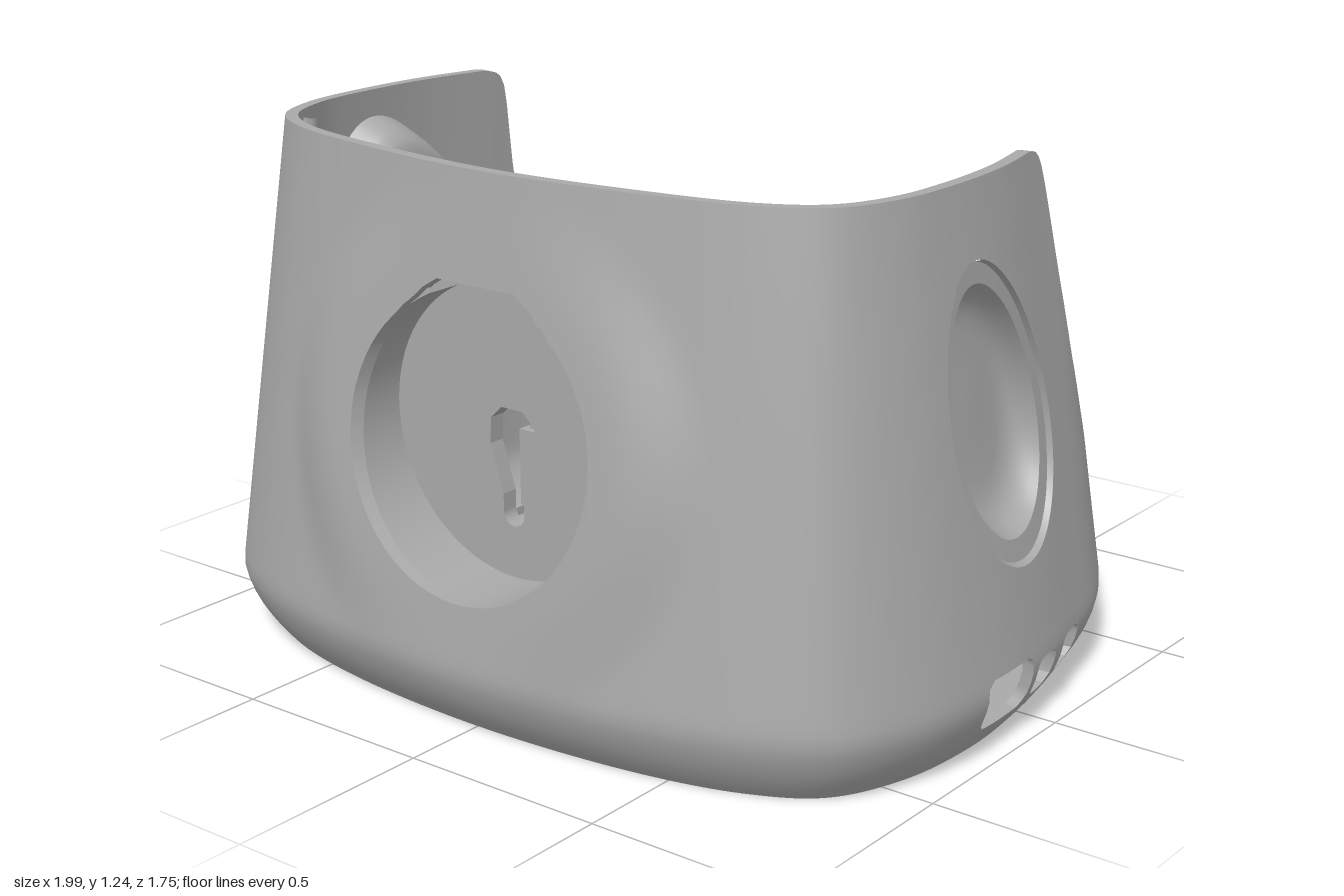
import * as THREE from 'three';
import { toCreasedNormals } from 'three/addons/utils/BufferGeometryUtils.js';

const { smoothstep, clamp } = THREE.MathUtils;
const grey = new THREE.MeshStandardMaterial({ color: 0xa9a9a9 });
grey.name = 'plain grey';

// Plan outlines (x, z) of half the shell, front centre to back centre
const lowerPlan = [[0, .88], [.45, .84], [.73, .76], [.88, .662], [.968, .48], [1, .25], [.99, .05],
  [.95, -.16], [.89, -.37], [.765, -.585], [.57, -.765], [.3, -.86], [0, -.882]];
const upperPlan = [[0, .74], [.4, .7], [.655, .638], [.775, .557], [.835, .42], [.85, .25], [.84, .05],
  [.8, -.15], [.76, -.3], [.64, -.46], [.46, -.57], [.23, -.625], [0, -.64]];
// Height of the rim (z, y), sweeping down to the back
const rim = [[-.9, .125], [-.86, .14], [-.71, .23], [-.58, .345], [-.47, .46], [-.38, .59], [-.31, .75],
  [-.25, .96], [-.205, 1.17], [-.19, 1.215], [-.165, 1.235], [-.13, 1.242], [1, 1.242]];

function closedPlan(half) {
  const mirrored = half.slice(1, -1).reverse().map(([x, z]) => [-x, z]);
  return new THREE.CatmullRomCurve3([...half, ...mirrored].map(([x, z]) => new THREE.Vector3(x, 0, z)), true);
}
const lower = closedPlan(lowerPlan), upper = closedPlan(upperPlan);

function rimHeight(z) {
  let i = 0;
  while (i < rim.length - 2 && z > rim[i + 1][0]) i++;
  const [z0, y0] = rim[i], [z1, y1] = rim[i + 1];
  return y0 + (y1 - y0) * clamp((z - z0) / (z1 - z0), 0, 1);
}

// Point on the shell wall at plan position u, height y, a given depth inside the surface
function wallPoint(u, y, depth = 0) {
  const t = ((u % 1) + 1) % 1;
  const p = lower.getPoint(t).lerp(upper.getPoint(t), Math.max(0, (y - .15) / 1.09));
  const k = clamp((.18 - y) / .18, 0, 1);
  // The inside is filleted into the floor at the front and back
  const fillet = depth ? .15 * (1 - smoothstep(y, .01, .18)) * smoothstep(Math.abs(p.z), .36, .6) : 0;
  p.multiplyScalar(1 - (.085 * k * k + depth + fillet) / p.length());
  if (p.z > 0) p.z += .2 * p.x * p.x * (1 - smoothstep(Math.hypot(p.x, y - .65), .38, .6));
  p.y = y;
  return p;
}

// Finds where a decreasing measure along the wall reaches zero
function findWall(y, from, to, measure) {
  for (let i = 0; i < 25; i++) {
    const m = (from + to) / 2;
    if (measure(wallPoint(m, y)) > 0) from = m; else to = m;
  }
  return wallPoint(from, y);
}
const frontZ = (x, y) => findWall(y, 0, .19, p => Math.abs(x) - p.x).z;
const sideX = (z, y) => findWall(y, .1, .42, p => p.z - z).x;

// Egg outline on the side wall: 1 on its edge, 0 at its centre
function eggLevel(z, y) {
  const dz = z - .12, dy = y - .735;
  const a = dz * .27 + dy * .96, b = dz * .96 - dy * .27;
  return Math.hypot(a / .35, b / (.21 * Math.max(.2, 1 - .5 * a)));
}

// Egg-shaped surface from rings of [egg level, depth below the wall]
function eggGeometry(rings, side, faceOut) {
  const n = 72, pos = [], index = [];
  rings.forEach(([e, sink], r) => {
    for (let i = 0; i < n; i++) {
      const t = i / n * Math.PI * 2, a = .35 * e * Math.sin(t), b = .21 * (1 - .5 * a) * e * Math.cos(t);
      const z = .12 + .27 * a + .96 * b, y = .735 + .96 * a - .27 * b;
      pos.push(side * (sideX(z, y) - sink), y, z);
      if (r === rings.length - 1) continue;
      const p = r * n + i, q = r * n + (i + 1) % n;
      if ((side > 0) === faceOut) index.push(p, p + n, q, q, p + n, q + n);
      else index.push(p, q, p + n, q, q + n, p + n);
    }
  });
  const g = new THREE.BufferGeometry();
  g.setAttribute('position', new THREE.Float32BufferAttribute(pos, 3));
  g.setIndex(index);
  return toCreasedNormals(g, .8);
}

function roundedBox(a, b, a0, a1, b0, b1, r) {
  const qa = Math.abs(a - (a0 + a1) / 2) - (a1 - a0) / 2 + r;
  const qb = Math.abs(b - (b0 + b1) / 2) - (b1 - b0) / 2 + r;
  return Math.hypot(Math.max(qa, 0), Math.max(qb, 0)) + Math.min(Math.max(qa, qb), 0) - r;
}

// Positive where the wall is cut away
function cut(p) {
  const notch = p.z < -.7 && p.x > -.2 && p.x < -.08 ? .03 : 0;
  let f = p.y - rimHeight(p.z) + notch;
  if (p.z > .4 && Math.abs(p.x) < .6) {
    f = Math.max(f, .34 - Math.hypot(p.x, p.y - .65));
    f = Math.max(f, Math.min(1 - p.y, p.y - .9, .12 + (1 - p.y) * 1.1 - Math.abs(p.x)));
  }
  if (Math.abs(p.x) > .7) {
    const slots = p.x > 0 ? [[.09, .28, .07, .19], [-.04, .065, .075, .165], [-.195, -.085, .075, .165]]
      : [[-.04, .28, .07, .19], [-.195, -.085, .075, .165]];
    for (const s of slots) f = Math.max(f, -roundedBox(p.z, p.y, ...s, .025));
    f = Math.max(f, .3 * (1 - eggLevel(p.z, p.y)));
  }
  return f;
}

// Thick shell: a grid trimmed by cut(), with walls along every trimmed edge
function shellGeometry() {
  const cols = 280, thick = .03, pos = [];
  const rows = [0, .015, .03, .05, .07];
  while (rows.at(-1) < 1.26) rows.push(rows.at(-1) + .026);
  const vertex = (u, y) => {
    const o = wallPoint(u, y);
    return { o, i: wallPoint(u, y, thick), f: cut(o) };
  };
  const between = (a, b) => {
    const t = a.f / (a.f - b.f);
    return { o: a.o.clone().lerp(b.o, t), i: a.i.clone().lerp(b.i, t) };
  };
  const face = (...pts) => pts.forEach(p => pos.push(p.x, p.y, p.z));
  const grid = rows.map(y => Array.from({ length: cols + 1 }, (_, c) => vertex(c / cols, y)));
  const triangle = (...tri) => {
    const poly = [];
    let leave, enter;
    tri.forEach((a, k) => {
      const b = tri[(k + 1) % 3];
      if (a.f <= 0) poly.push(a);
      if (a.f <= 0 && b.f > 0) poly.push(leave = between(a, b));
      if (a.f > 0 && b.f <= 0) poly.push(enter = between(a, b));
    });
    for (let k = 1; k < poly.length - 1; k++) {
      face(poly[0].o, poly[k].o, poly[k + 1].o);
      face(poly[0].i, poly[k + 1].i, poly[k].i);
    }
    if (leave) {
      face(enter.o, leave.o, leave.i);
      face(enter.o, leave.i, enter.i);
    }
  };
  for (let r = 0; r < rows.length - 1; r++) for (let c = 0; c < cols; c++) {
    const a = grid[r][c], b = grid[r][c + 1], d = grid[r + 1][c], e = grid[r + 1][c + 1];
    triangle(a, b, e);
    triangle(a, e, d);
  }
  const g = new THREE.BufferGeometry();
  g.setAttribute('position', new THREE.Float32BufferAttribute(pos, 3));
  return toCreasedNormals(g, .7);
}

const polygon = pts => new THREE.Shape(pts.map(([x, y]) => new THREE.Vector2(x, y)));
const extrude = (shape, depth) =>
  new THREE.ExtrudeGeometry(shape, { depth, bevelEnabled: false, curveSegments: 32 });

export function createModel() {
  const model = new THREE.Group();
  const add = (name, geometry, x = 0, y = 0, z = 0) => {
    const mesh = new THREE.Mesh(geometry, grey);
    mesh.name = name;
    mesh.position.set(x, y, z);
    model.add(mesh);
  };
  const box = (name, x0, x1, y0, y1, z0, z1) => add(name,
    new THREE.BoxGeometry(x1 - x0, y1 - y0, z1 - z0), (x0 + x1) / 2, (y0 + y1) / 2, (z0 + z1) / 2);

  add('shell', shellGeometry());

  // Floor with the large opening and the rear slot
  const floor = polygon(Array.from({ length: 140 }, (_, i) => {
    const p = wallPoint(i / 140, 0);
    return [p.x, -p.z];
  }));
  const opening = polygon([[-.65, -.54], [.65, -.54], [.69, -.3], [.69, .24], [.66, .28], [.55, .305],
    [-.55, .305], [-.66, .28], [-.69, .24], [-.69, -.3]]);
  const slot = new THREE.Path().moveTo(-.26, .44).quadraticCurveTo(0, .475, .26, .44)
    .lineTo(.26, .59).quadraticCurveTo(0, .65, -.26, .59).closePath();
  floor.holes.push(opening, slot);
  add('floor', extrude(floor, .045).rotateX(-Math.PI / 2));

  // Round recess in the front: open-topped cup and a disc with a keyhole
  const start = Math.PI * .64, end = Math.PI * 2.36;
  const ring = new THREE.Shape().absarc(0, .65, .37, start, end, false).absarc(0, .65, .34, end, start, true);
  const cup = extrude(ring, 1), cp = cup.attributes.position;
  for (let i = 0; i < cp.count; i++)
    cp.setZ(i, cp.getZ(i) > .5 ? frontZ(cp.getX(i), cp.getY(i)) - .02 : .62);
  add('recessCup', toCreasedNormals(cup, .6));
  const disc = new THREE.Shape().absarc(0, .65, .342, 0, Math.PI * 2);
  disc.holes.push(new THREE.Path().moveTo(.03, .5).lineTo(.065, .61).lineTo(.062, .67).lineTo(.03, .7)
    .lineTo(-.03, .7).lineTo(-.062, .67).lineTo(-.065, .61).lineTo(-.03, .5)
    .lineTo(-.03, .455).absarc(0, .46, .03, Math.PI, Math.PI * 2));
  add('recessDisc', extrude(disc, .04), 0, 0, .62);
  for (const x of [-.07, .07]) box('recessClip', x - .03, x + .03, 1.03, 1.09, .66, .75);

  // Raised frame around the opening
  box('rearFrame', -.68, .68, .04, .12, -.41, -.37);
  box('frontFrame', -.66, .66, .04, .11, .56, .595);
  for (const s of [-1, 1]) {
    // Side dish: stepped rim and hollow outside, raised pad inside
    add('sideDish', eggGeometry([[1, 0], [.985, .014], [.84, .018], [.81, .035], [.77, .055], [.71, .073],
      [.62, .085], [.5, .09], [.25, .09], [0, .09]], s, true));
    add('sidePad', eggGeometry([[1.3, .025], [1.26, .055], [1.21, .09], [1.15, .118], [1.07, .135],
      [.95, .14], [.6, .14], [.3, .14], [0, .14]], s, false));
    // Ribs inside the front and rear corners
    for (const [name, u, top] of [['frontRib', .145, 1.22], ['rearRib', .305, .5]]) {
      const path = [0, .3, .65, 1].map(t => wallPoint(s * u, .16 + (top - .16) * t, .04));
      add(name, new THREE.TubeGeometry(new THREE.CatmullRomCurve3(path), 16, .02, 6));
    }
    const sided = (name, a, b, ...rest) => box(name, Math.min(a * s, b * s), Math.max(a * s, b * s), ...rest);
    sided('sideRail', .74, .78, .04, .068, -.36, .52);
    sided('frontClip', .65, .75, .04, .25, .28, .4);
    sided('rearClip', .65, .75, .04, .28, -.33, -.2);
    sided('rearClipHead', .68, .73, .28, .32, -.31, -.22);
    sided('rearHook', .66, .75, .04, .3, -.45, -.35);
    sided('slotCheek', .255, .285, .04, .11, -.68, -.4);
    sided('screwPad', .285, .38, .04, .09, -.68, -.4);
    add('screwBoss', toCreasedNormals(new THREE.LatheGeometry([[.02, 0], [.04, 0], [.04, .03], [.02, .03], [.02, 0]]
      .map(([r, y]) => new THREE.Vector2(r, y)), 20), .6), .32 * s, .09, -.51);
    sided('cornerGusset', .6, .69, .04, .06, .47, .56);
  }
  box('slotBackEdge', -.28, .28, .04, .09, -.69, -.65);

  // Rear brackets, cut in side profile (distance behind centre, height)
  const rounded = new THREE.Shape().moveTo(.36, .04).lineTo(.375, .46)
    .absarc(.51, .47, .135, Math.PI, 0, true).lineTo(.7, .2).lineTo(.72, .04).closePath();
  const square = polygon([[.36, .04], [.37, .56], [.39, .58], [.44, .58], [.5, .54], [.56, .54], [.61, .57],
    [.66, .57], [.7, .22], [.72, .04]]);
  const bore = () => polygon(Array.from({ length: 8 }, (_, i) => {
    const a = (i + .5) * Math.PI / 4;
    return [.52 + .07 * Math.cos(a), .44 + .07 * Math.sin(a)];
  }));
  rounded.holes.push(bore(), new THREE.Path().absarc(.51, .55, .017, 0, Math.PI * 2));
  square.holes.push(bore());
  add('leftBracket', extrude(rounded, .1).rotateY(Math.PI / 2), .38);
  add('rightBracket', extrude(square, .1).rotateY(Math.PI / 2), -.47);
  box('leftBracketFoot', .48, .57, .04, .2, -.64, -.38);
  box('rightBracketFoot', -.53, -.47, .04, .2, -.64, -.38);
  for (const z of [-.64, -.4]) box('rightBracketRib', -.49, -.37, .3, .36, z - .035, z + .035);
  return model;
}
